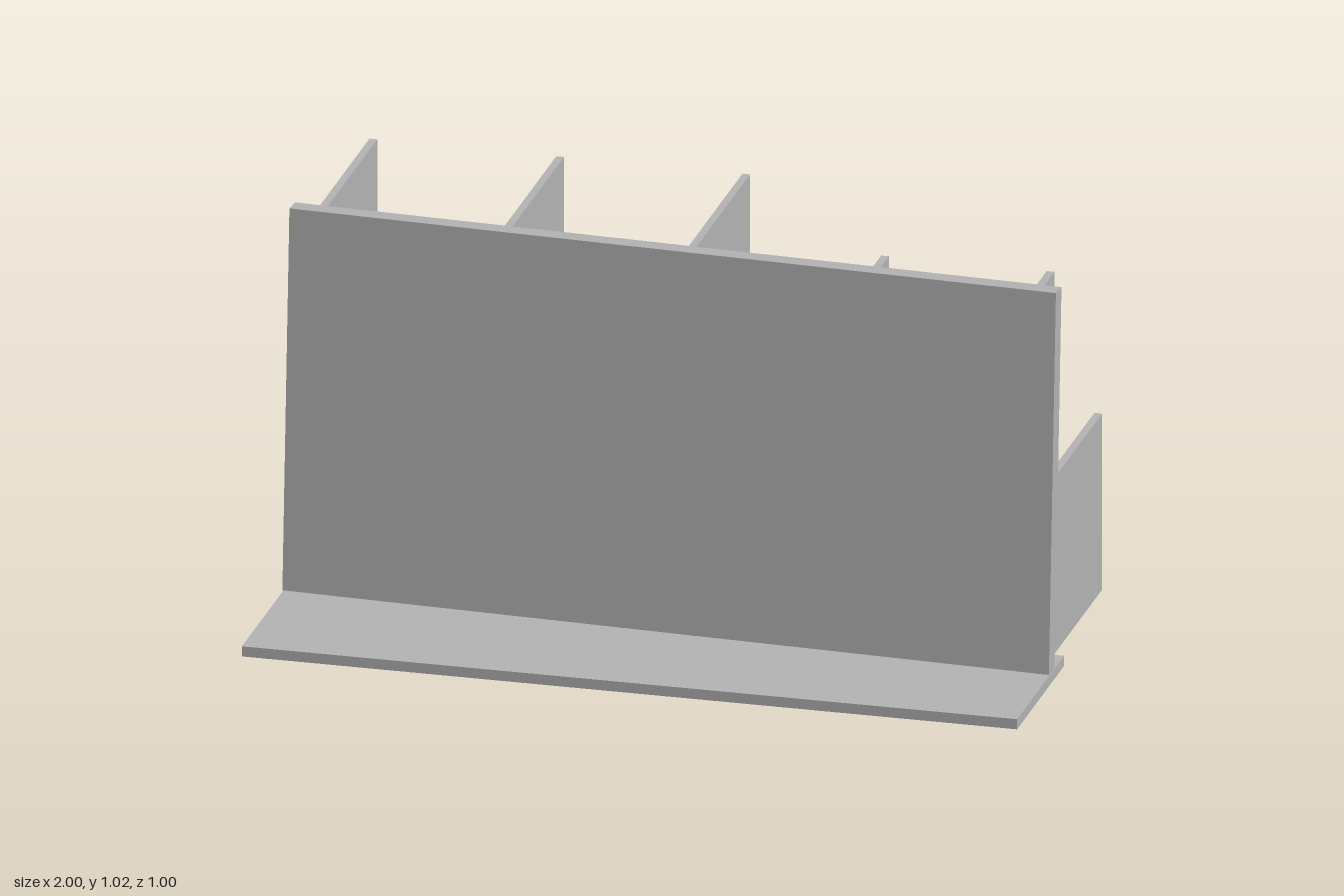
import * as THREE from 'three';

// Plane of the panel's back face: runs askew along x and leans back with height
const panelBack = (x, y) => 0.0945 + 0.0425 * x - 0.069 * y;

export function createModel() {
  const group = new THREE.Group();
  const grey = new THREE.MeshStandardMaterial({ color: 0xb4b4b4 });
  grey.name = 'plain grey';
  const add = (name, geo) => {
    const mesh = new THREE.Mesh(geo, grey);
    mesh.name = name;
    group.add(mesh);
    return mesh;
  };

  // Flat base plate
  add('basePlate', new THREE.BoxGeometry(2, 0.027, 0.46)).position.set(0, 0.0135, 0.27);

  // Leaning panel: a box sheared onto the panel plane
  const panel = new THREE.BoxGeometry(2, 1, 0.055);
  const p = panel.attributes.position;
  for (let i = 0; i < p.count; i++) {
    const front = p.getZ(i) > 0;
    const y = (p.getY(i) > 0 ? 1.021 : 0.027) + (front ? 0.004 : 0);
    p.setXYZ(i, p.getX(i), y, panelBack(p.getX(i), y) + (front ? 0.055 : 0));
  }
  panel.computeVertexNormals();
  add('leaningPanel', panel);

  // Upright ribs behind the panel, drawn as (z, y) profiles
  const thickness = 0.02;
  const ribs = [
    { x: -0.925, slit: 0.14 },
    { x: -0.443, slit: 0.1 },
    { x: 0.037, slit: 0.05 },
    { x: 0.518, slit: 0.03, stepped: true },
    { x: 0.945, slit: 0, stepped: true },
  ];
  for (const { x, slit, stepped } of ribs) {
    const pts = [[-0.5, 0]];
    // Foot notched over the base plate, with a narrow relief slit
    if (slit) pts.push([0.036, 0], [0.036, 0.027 + slit], [0.04, 0.027 + slit]);
    else pts.push([0.04, 0]);
    pts.push([0.04, 0.027], [panelBack(x, 0.027), 0.027]);
    // Small slit in the front edge of the stepped ribs
    if (stepped) {
      pts.push([panelBack(x, 0.468), 0.468], [0.055 + 0.0425 * (x - 0.945), 0.471], [panelBack(x, 0.476), 0.476]);
    }
    pts.push([panelBack(x, 1.02), 1.02]);
    if (stepped) pts.push([-0.035, 1.02], [-0.035, 0.47], [-0.5, 0.47]);
    else pts.push([-0.5, 1.02]);

    const shape = new THREE.Shape(pts.map(([z, y]) => new THREE.Vector2(-z, y)));
    const geo = new THREE.ExtrudeGeometry(shape, { depth: thickness, bevelEnabled: false });
    geo.rotateY(Math.PI / 2);
    add(stepped ? 'steppedRib' : 'fullRib', geo).position.x = x - thickness / 2;
  }

  // Bored block at the back foot of one rib
  const block = new THREE.Shape([
    new THREE.Vector2(-0.08, 0), new THREE.Vector2(0.08, 0),
    new THREE.Vector2(0.08, 0.125), new THREE.Vector2(-0.08, 0.125),
  ]);
  const bore = new THREE.Path();
  bore.absarc(0, 0.068, 0.028, 0, Math.PI * 2, true);
  block.holes.push(bore);
  add('boredBlock', new THREE.ExtrudeGeometry(block, { depth: 0.045, bevelEnabled: false, curveSegments: 24 }))
    .position.set(0.465, 0, -0.5);

  return group;
}
